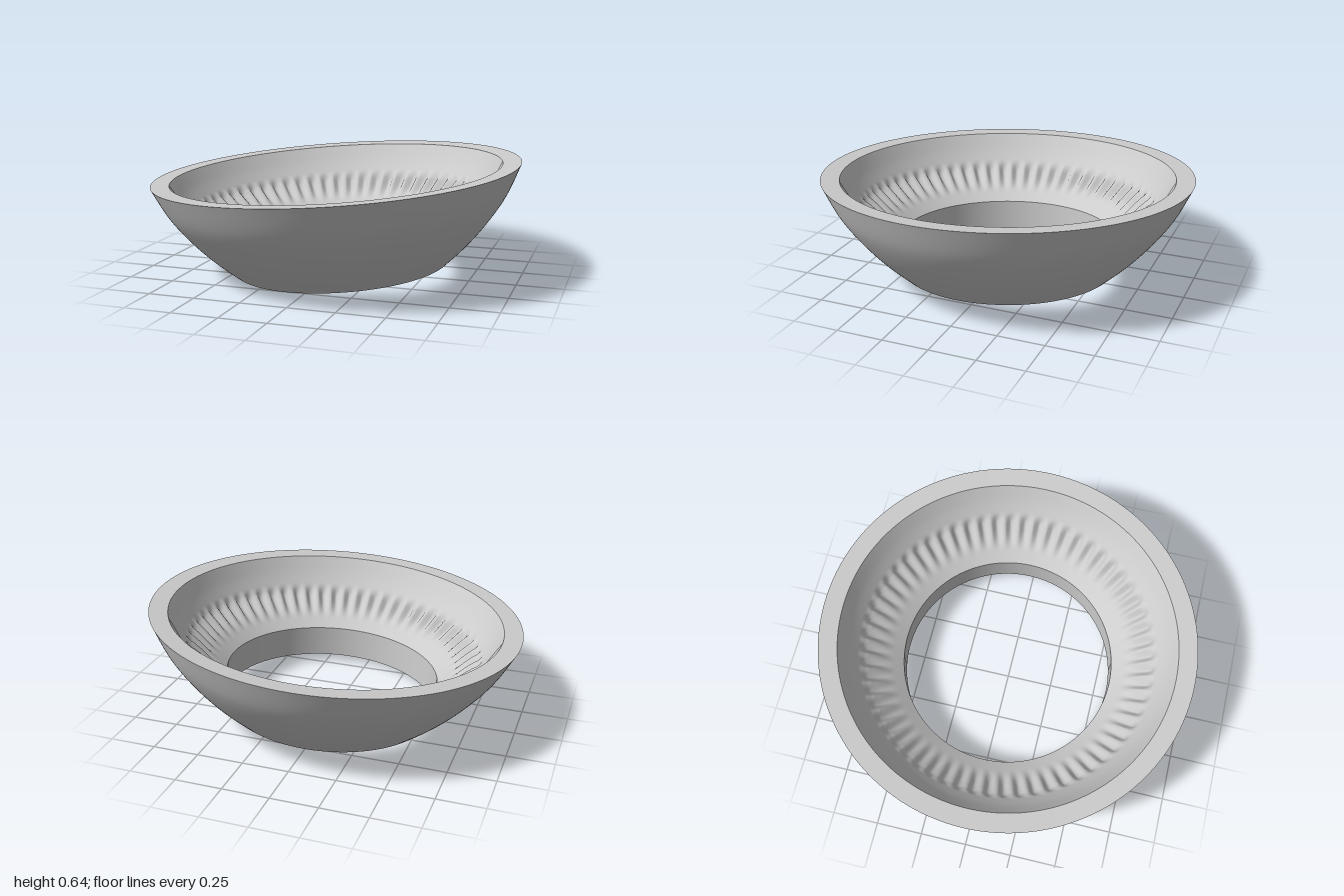
import * as THREE from 'three';
import { mergeVertices } from 'three/addons/utils/BufferGeometryUtils.js';

const FLUTES = 60;
const SEGMENTS = 360;

// Smooth curve through a few [radius, height] points
function profile(points, count) {
  const curve = new THREE.SplineCurve(points.map(([r, h]) => new THREE.Vector2(r, h)));
  return curve.getPoints(count);
}

// Spin a profile, close its seam and smooth it; optionally move the vertices by a rule
function turned(name, points, material, rule) {
  let geo = new THREE.LatheGeometry(points, SEGMENTS);
  geo.deleteAttribute('uv');
  geo.deleteAttribute('normal');
  const pos = geo.attributes.position;
  const v = new THREE.Vector3();
  if (rule) {
    for (let i = 0; i < pos.count; i++) {
      rule(v.fromBufferAttribute(pos, i));
      pos.setXYZ(i, v.x, v.y, v.z);
    }
  }
  geo = mergeVertices(geo, 1e-5);
  geo.computeVertexNormals();
  const mesh = new THREE.Mesh(geo, material);
  mesh.name = name;
  return mesh;
}

// Shallow radial grooves that are deepest near the outer end and fade inwards
function flute(v) {
  const r = Math.hypot(v.x, v.z);
  const fade = THREE.MathUtils.smoothstep(r, 0.63, 0.75) * (1 - THREE.MathUtils.smoothstep(r, 0.765, 0.81));
  const push = 0.012 * fade * Math.cos(FLUTES * Math.atan2(v.z, v.x));
  const k = (r + push) / r;
  v.set(v.x * k, v.y - push, v.z * k);
}

export function createModel() {
  const group = new THREE.Group();
  group.name = 'flutedRingBowl';
  const material = new THREE.MeshStandardMaterial({ color: 0xcccccc, side: THREE.DoubleSide });
  const bowl = new THREE.Group();
  bowl.name = 'tiltedBowl';

  // Outer shell, rising from the foot to the rim
  bowl.add(turned('outerShell', profile(
    [[0.597, 0.006], [0.71, 0.108], [0.82, 0.228], [0.92, 0.365], [1, 0.525]], 28), material));

  // Flat rim
  bowl.add(turned('rim', profile([[1, 0.525], [0.9, 0.52]], 2), material));

  // Inner wall with its fluted shoulder
  bowl.add(turned('flutedInnerWall', profile(
    [[0.9, 0.52], [0.85, 0.435], [0.8, 0.365], [0.765, 0.32], [0.68, 0.25], [0.58, 0.175]], 60), material, flute));

  // Upright bore and the narrow foot around it
  bowl.add(turned('bore', profile([[0.58, 0.175], [0.58, 0]], 4), material));
  bowl.add(turned('foot', profile([[0.58, 0], [0.59, 0.001], [0.597, 0.006]], 4), material));

  // Lean the whole ring slightly
  bowl.quaternion.setFromUnitVectors(
    new THREE.Vector3(0, 1, 0), new THREE.Vector3(-0.066, 1, 0.025).normalize());
  bowl.position.set(0.035, 0.041, -0.013);
  group.add(bowl);
  return group;
}
